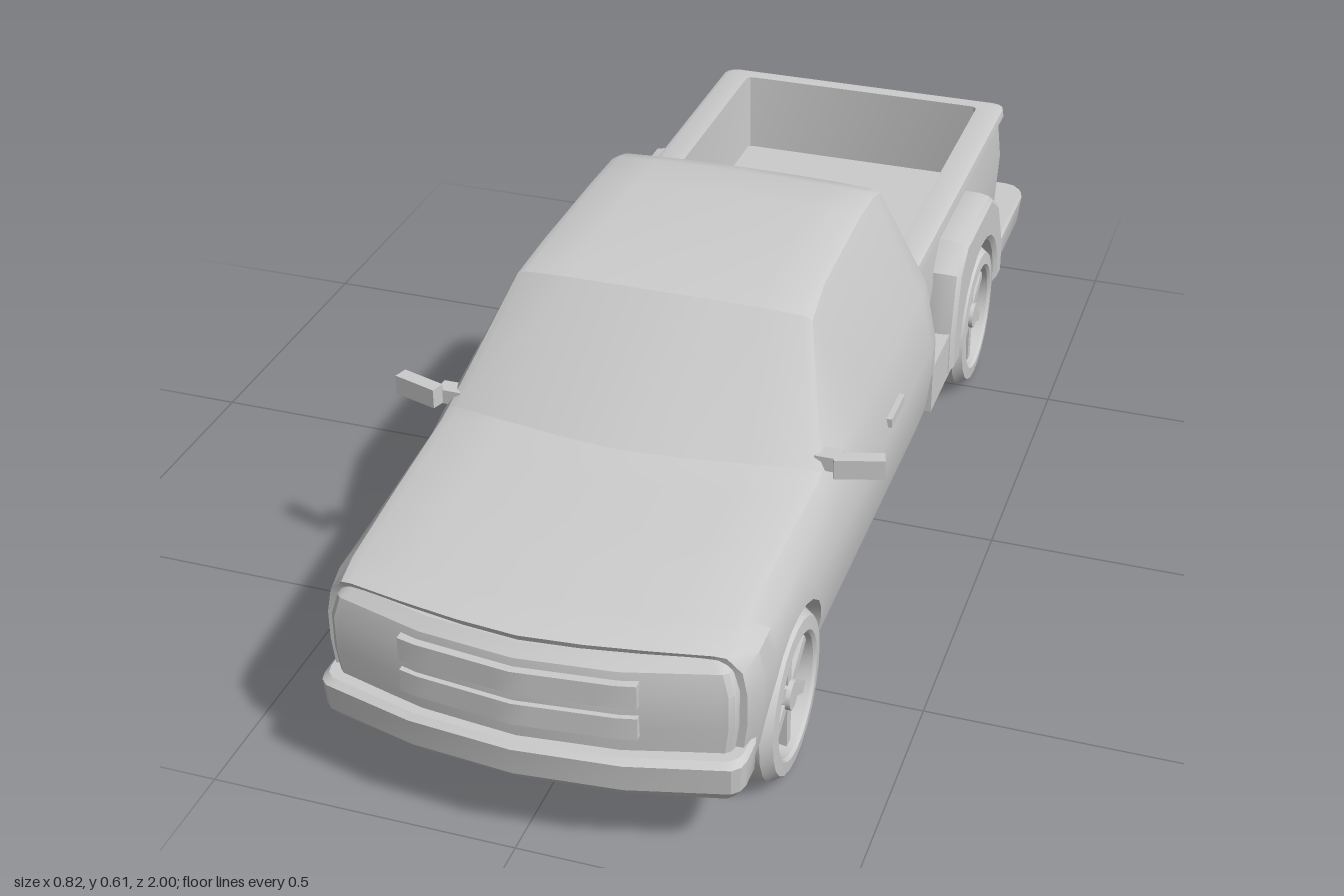
import * as THREE from 'three';
import { toCreasedNormals } from 'three/addons/utils/BufferGeometryUtils.js';

const mat = new THREE.MeshStandardMaterial({ color: 0xcccccc });
const WHEEL_R = 0.137, FRONT_Z = 0.69, REAR_Z = -0.54, ARCH_R = 0.15;
const clamp01 = (v) => Math.min(1, Math.max(0, v));

function add(parent, name, geo, x = 0, y = 0, z = 0) {
  const m = new THREE.Mesh(geo, mat);
  m.name = name;
  m.position.set(x, y, z);
  parent.add(m);
  return m;
}

// Closed skin over equal-length rings of [x, y, z], capped at both ends
function loft(rings, crease = 0.5) {
  const pos = [], idx = [], n = rings[0].length, last = rings.length - 1;
  rings.forEach((r) => r.forEach((p) => pos.push(...p)));
  for (let i = 0; i < last; i++) for (let j = 0; j < n; j++) {
    const k = (j + 1) % n, a = i * n + j, b = i * n + k;
    idx.push(a, a + n, b, a + n, b + n, b);
  }
  for (const i of [0, last]) {
    const c = [0, 1, 2].map((k) => rings[i].reduce((s, p) => s + p[k], 0) / n);
    const ci = pos.length / 3;
    pos.push(...c);
    for (let j = 0; j < n; j++) {
      const a = i * n + j, b = i * n + (j + 1) % n;
      idx.push(ci, i ? b : a, i ? a : b);
    }
  }
  const g = new THREE.BufferGeometry();
  g.setAttribute('position', new THREE.Float32BufferAttribute(pos, 3));
  g.setIndex(idx);
  return toCreasedNormals(g, crease);
}

// Shallow V-shaped bow across the width, t = 0 centre .. 1 corner
const bowAt = (t) => (t < 0.5 ? 1 - 0.6 * t : 0.7 - 1.4 * (t - 0.5));

// Horizontal rounded rectangle with an optionally bowed front
function outline([y, hw, z0, z1, r, bow = 0]) {
  const pts = [];
  const corner = (cx, cz, start) => {
    for (let k = 0; k <= 3; k++) {
      const a = start + (k * Math.PI) / 6;
      pts.push([cx + r * Math.cos(a), y, cz + r * Math.sin(a)]);
    }
  };
  corner(hw - r, z1 - r, 0);
  for (const t of [0.5, 0, -0.5]) pts.push([t * hw, y, z1 + bow * bowAt(Math.abs(t))]);
  corner(-hw + r, z1 - r, Math.PI / 2);
  corner(-hw + r, z0 + r, Math.PI);
  corner(hw - r, z0 + r, Math.PI * 1.5);
  return pts;
}
const stack = (rows) => loft(rows.map(outline));

// Cab stations: z, width scale, belt y, pillar x, pillar y, centre y
const CAB = [
  [0.9, 0.95, 0.33, 0.3, 0.355, 0.362],
  [0.85, 0.98, 0.335, 0.305, 0.364, 0.373],
  [0.7, 0.99, 0.345, 0.308, 0.38, 0.391],
  [0.5, 1, 0.365, 0.313, 0.395, 0.408],
  [0.47, 1, 0.38, 0.314, 0.4, 0.413],
  [0.31, 1, 0.4, 0.25, 0.575, 0.588],
  [0.22, 1, 0.4, 0.242, 0.59, 0.602],
  [0, 1, 0.4, 0.238, 0.595, 0.608],
  [-0.13, 1, 0.4, 0.238, 0.592, 0.604],
  [-0.17, 0.99, 0.4, 0.24, 0.58, 0.592],
  [-0.19, 0.96, 0.4, 0.228, 0.56, 0.57],
];
const SIDE = [[0.12, 0.325], [0.16, 0.337], [0.24, 0.347], [0.29, 0.347], [0.4, 0.325]];

function lerpRow(table, key) {
  const up = table[0][0] < table[1][0];
  let i = 0;
  while (i < table.length - 2 && (up ? key > table[i + 1][0] : key < table[i + 1][0])) i++;
  const a = table[i], b = table[i + 1], t = clamp01((key - a[0]) / (b[0] - a[0]));
  return a.map((v, k) => v + (b[k] - v) * t);
}

// One cab cross-section, with the side lifted to the wheel arch height
function cabRing(z, arch) {
  const [, w, belt, px, py, top] = lerpRow(CAB, z);
  const side = (y) => [lerpRow(SIDE, y)[1] * w, y];
  const rise = (t) => py + (top - py) * t;
  const half = [
    [0.235, 0.12], [0.235, arch],
    ...[0.12, 0.16, 0.24, 0.29, belt].map((y) => side(Math.max(y, arch))),
    [px, py], [px * 0.94, rise(0.5)], [px * 0.65, rise(0.8)], [px * 0.33, rise(0.95)],
  ];
  const ring = [[0, 0.12], ...half, [0, top], ...half.reverse().map(([x, y]) => [-x, y])];
  return ring.map(([x, y]) => {
    const bow = 0.055 * clamp01((z - 0.28) / 0.15) * Math.max(0, 1 - Math.pow(Math.abs(x) / 0.32, 1.5));
    const lean = z < -0.12 ? 0.03 * clamp01((y - 0.4) / 0.18) : 0;
    return [x, y, z + bow + lean];
  });
}

function cabGeometry() {
  const st = CAB.map((r) => [r[0], 0.12]).filter(([z]) => Math.abs(z - FRONT_Z) > ARCH_R);
  st.push([FRONT_Z + ARCH_R, 0.12], [FRONT_Z - ARCH_R, 0.12]);
  for (let k = 0; k <= 12; k++) {
    const a = (k * Math.PI) / 12;
    st.push([FRONT_Z + (ARCH_R - 1e-4) * Math.cos(a), WHEEL_R + ARCH_R * Math.sin(a)]);
  }
  st.sort((a, b) => b[0] - a[0]);
  return loft(st.map(([z, a]) => cabRing(z, a)));
}

// Flared rear fender with wheel cut-out; s = +1 left, -1 right
function fenderGeometry(s) {
  const P = (z, y) => new THREE.Vector2(-s * z, y);
  const pts = [P(-0.335, 0.14), P(-0.335, 0.21), P(-0.362, 0.315), P(-0.41, 0.352), P(-0.61, 0.352),
    P(-0.68, 0.305), P(-0.735, 0.2), P(-0.735, 0.14)];
  for (let k = 0; k <= 12; k++) {
    const a = (k * Math.PI) / 12;
    pts.push(P(REAR_Z - 0.165 * Math.cos(a), 0.14 + 0.155 * Math.sin(a)));
  }
  const g = new THREE.ExtrudeGeometry(new THREE.Shape(pts), {
    depth: 0.03, bevelThickness: 0.025, bevelSize: 0.013, bevelSegments: 2,
  });
  g.rotateY((s * Math.PI) / 2);
  return toCreasedNormals(g, 0.5);
}

function makeWheel(name, s) {
  const wheel = new THREE.Group();
  wheel.name = name;
  const profile = [[0, -0.055], [0.132, -0.055], [0.137, -0.045], [0.137, 0.035], [0.125, 0.053],
    [0.103, 0.055], [0.098, 0.05], [0.094, 0.025], [0, 0.025]].map(([r, h]) => new THREE.Vector2(r, h));
  add(wheel, 'tyre', toCreasedNormals(new THREE.LatheGeometry(profile, 24), 0.4));
  add(wheel, 'hub', new THREE.CylinderGeometry(0.024, 0.028, 0.025, 12), 0, 0.036, 0);
  for (let k = 0; k < 6; k++) {
    const g = new THREE.BoxGeometry(0.08, 0.016, 0.02);
    g.translate(0.057, 0.033, 0);
    add(wheel, 'spoke', g).rotation.y = (k * Math.PI) / 3;
  }
  wheel.rotation.z = (-s * Math.PI) / 2;
  return wheel;
}

// Grille bar bent to follow the bowed nose
function grilleBar(h) {
  const g = new THREE.BoxGeometry(0.37, h, 0.03, 12, 1, 1);
  const p = g.attributes.position;
  for (let i = 0; i < p.count; i++) p.setZ(i, p.getZ(i) + 0.055 * bowAt(Math.abs(p.getX(i)) / 0.315));
  return toCreasedNormals(g, 0.5);
}

export function createModel() {
  const truck = new THREE.Group();
  truck.name = 'pickupTruck';

  // Cab, hood and nose
  add(truck, 'cabAndHood', cabGeometry());
  add(truck, 'nose', stack([
    [0.14, 0.305, 0.86, 0.92, 0.02, 0.05], [0.24, 0.318, 0.86, 0.925, 0.02, 0.055],
    [0.3, 0.318, 0.86, 0.925, 0.02, 0.055], [0.335, 0.308, 0.86, 0.92, 0.02, 0.053],
    [0.352, 0.297, 0.86, 0.905, 0.02, 0.05]]));
  add(truck, 'upperGrilleBar', grilleBar(0.04), 0, 0.302, 0.919);
  add(truck, 'lowerGrilleBar', grilleBar(0.038), 0, 0.245, 0.919);
  add(truck, 'frontBumper', stack([
    [0.118, 0.32, 0.845, 0.93, 0.025, 0.045], [0.14, 0.333, 0.845, 0.945, 0.03, 0.05],
    [0.188, 0.335, 0.845, 0.95, 0.03, 0.05], [0.196, 0.328, 0.845, 0.94, 0.03, 0.05]]));

  // Open cargo bed with rim lip
  add(truck, 'cargoBed', stack([
    [0.12, 0.285, -0.93, -0.195, 0.02], [0.2, 0.29, -0.94, -0.195, 0.025],
    [0.3, 0.295, -0.945, -0.195, 0.025], [0.382, 0.289, -0.933, -0.195, 0.025],
    [0.388, 0.297, -0.945, -0.195, 0.025], [0.403, 0.295, -0.943, -0.195, 0.025],
    [0.407, 0.285, -0.933, -0.2, 0.02], [0.404, 0.243, -0.912, -0.245, 0.012],
    [0.25, 0.238, -0.905, -0.25, 0.008]]));
  add(truck, 'rearBumper', stack([
    [0.12, 0.325, -0.975, -0.72, 0.03], [0.14, 0.333, -0.988, -0.72, 0.035],
    [0.192, 0.338, -1, -0.73, 0.04], [0.2, 0.334, -0.997, -0.735, 0.04]]));

  for (const s of [1, -1]) {
    const side = s > 0 ? 'left' : 'right';
    add(truck, side + 'RearFender', fenderGeometry(s), s * 0.29);
    add(truck, side + 'BedStep', new THREE.BoxGeometry(0.075, 0.092, 0.175), s * 0.298, 0.166, -0.284);
    add(truck, side + 'DoorHandle', new THREE.BoxGeometry(0.012, 0.016, 0.085), s * 0.344, 0.315, 0.125);

    // Door mirror on a short arm
    const mirror = add(truck, side + 'Mirror', new THREE.BoxGeometry(0.08, 0.034, 0.024), s * 0.37, 0.416, 0.458);
    mirror.rotation.y = s * 0.3;
    add(truck, side + 'MirrorArm', new THREE.BoxGeometry(0.04, 0.025, 0.03), s * 0.318, 0.41, 0.445);

    // Tilted exhaust tip
    const pipe = add(truck, side + 'Exhaust', new THREE.CylinderGeometry(0.02, 0.02, 0.1, 12), s * 0.17, 0.112, -0.875);
    pipe.rotation.x = Math.PI / 2 + 0.4;
    pipe.rotation.x *= -1;
    pipe.rotation.x += Math.PI + 0.8 - 0.8;
    pipe.rotation.x = Math.PI / 2 - 0.4;

    for (const [end, z] of [['Front', FRONT_Z], ['Rear', REAR_Z]]) {
      const wheel = makeWheel(side + end + 'Wheel', s);
      wheel.position.set(s * 0.29, WHEEL_R, z);
      truck.add(wheel);
    }
  }
  return truck;
}
